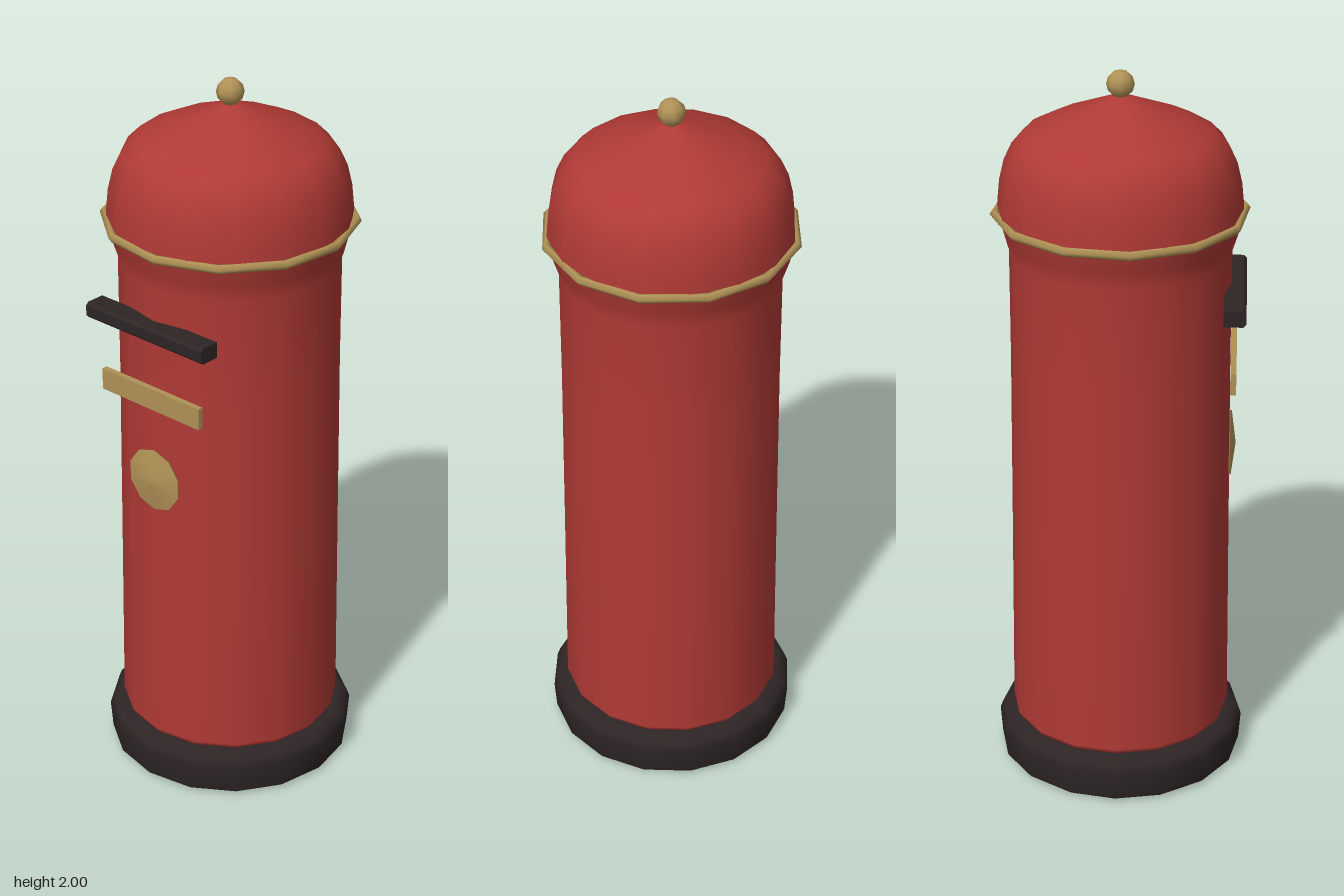
import * as THREE from 'three';

const paint = (color) => new THREE.MeshStandardMaterial({ color });
const red = paint(0xb03a35), gold = paint(0xb09256), black = paint(0x2e2525);

export function createModel() {
  const group = new THREE.Group();
  const add = (name, geometry, material, x = 0, y = 0, z = 0) => {
    const mesh = new THREE.Mesh(geometry, material);
    mesh.name = name;
    mesh.position.set(x, y, z);
    group.add(mesh);
    return mesh;
  };
  // 16-sided turned part from [radius, height] pairs
  const turned = (points) =>
    new THREE.LatheGeometry(points.map(([r, y]) => new THREE.Vector2(r, y)), 16);

  // Plinth with rounded upper edge
  add('plinth', turned([[0, 0], [0.325, 0], [0.34, 0.012], [0.346, 0.09],
    [0.338, 0.112], [0.318, 0.126], [0.28, 0.127]]), black);

  // Slightly tapered column, flared under the cap
  add('column', turned([[0.27, 0.12], [0.297, 0.13], [0.305, 0.145], [0.3, 0.7],
    [0.296, 1.2], [0.296, 1.51], [0.312, 1.56], [0.326, 1.615]]), red);

  // Domed cap with a low peak
  add('cap', turned([[0.326, 1.61], [0.323, 1.65], [0.318, 1.7], [0.305, 1.755],
    [0.284, 1.8], [0.25, 1.834], [0.185, 1.866], [0, 1.94]]), red);

  // Gold band around the foot of the cap
  const band = new THREE.TorusGeometry(0.331, 0.013, 5, 12);
  band.rotateX(Math.PI / 2);
  band.rotateY(THREE.MathUtils.degToRad(7));
  add('capBand', band, gold, 0, 1.617, 0);

  // Finial ball
  add('finial', new THREE.SphereGeometry(0.037, 8, 6), gold, 0, 1.963, 0);

  // Slot hood: bar with chamfered long edges
  const hw = 0.03, hh = 0.022, c = 0.008;
  const section = new THREE.Shape([[-hw, -hh], [hw - c, -hh], [hw, -hh + c],
    [hw, hh - c], [hw - c, hh], [-hw, hh]].map(([x, y]) => new THREE.Vector2(x, y)));
  const hood = new THREE.ExtrudeGeometry(section, { depth: 0.408, bevelEnabled: false });
  hood.translate(0, 0, -0.204);
  hood.rotateY(-Math.PI / 2);
  add('slotHood', hood, black, 0, 1.397, 0.306);

  // Name plate and round boss on the front
  add('plate', new THREE.BoxGeometry(0.346, 0.06, 0.016), gold, 0, 1.198, 0.305);
  const boss = new THREE.LatheGeometry([[0, -0.006], [0.088, -0.006], [0.09, 0], [0, 0.012]]
    .map(([r, y]) => new THREE.Vector2(r, y)), 10);
  boss.rotateX(Math.PI / 2);
  add('boss', boss, gold, 0, 0.95, 0.303);

  return group;
}
